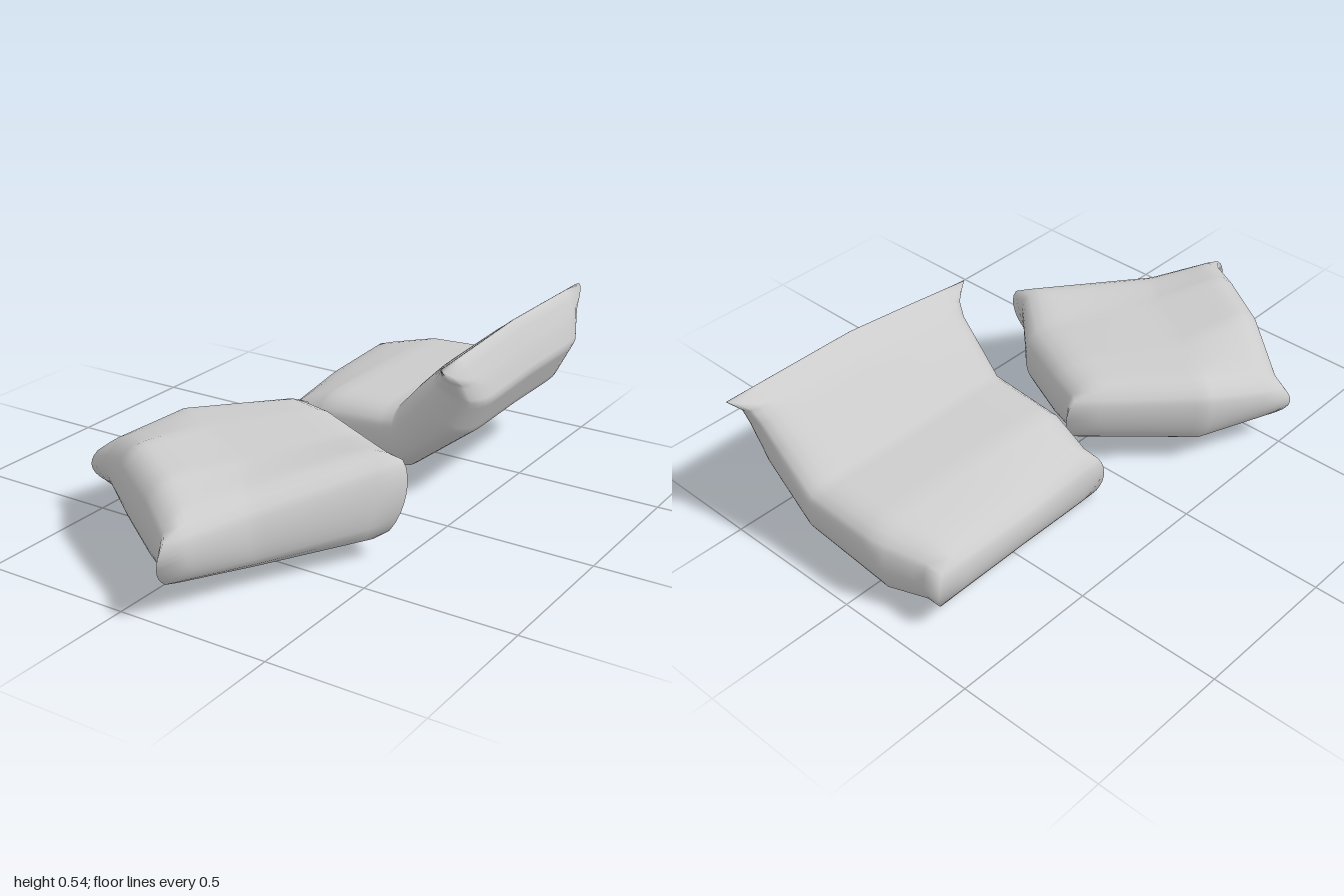
import * as THREE from 'three';
import { mergeVertices } from 'three/addons/utils/BufferGeometryUtils.js';

// Each station runs across a cushion face: front, middle and back point as [x, y, z]
const FLAT_TOP = [
  [[-0.46, 0.25, 0.49], [-0.36, 0.31, 0.25], [-0.09, 0.31, -0.03]],
  [[-0.24, 0.335, 0.65], [-0.17, 0.315, 0.36], [0.06, 0.32, 0.025]],
  [[-0.03, 0.325, 0.79], [0.07, 0.305, 0.5], [0.26, 0.31, 0.12]],
  [[0.13, 0.27, 0.91], [0.21, 0.285, 0.67], [0.43, 0.345, 0.25]],
];
const FLAT_BOTTOM = [
  [[-0.43, 0.075, 0.48], [-0.33, 0.055, 0.25], [-0.07, 0.08, -0.02]],
  [[-0.24, 0.055, 0.64], [-0.15, 0.05, 0.36], [0.07, 0.06, 0.04]],
  [[-0.04, 0.04, 0.78], [0.07, 0.04, 0.5], [0.27, 0.045, 0.14]],
  [[0.12, 0.06, 0.89], [0.23, 0.04, 0.65], [0.42, 0.04, 0.33]],
];
const BENT_TOP = [
  [[-0.22, 0.21, -0.17], [-0.25, 0.23, -0.5], [-0.26, 0.24, -0.83]],
  [[-0.05, 0.28, -0.15], [-0.05, 0.28, -0.52], [-0.05, 0.28, -0.9]],
  [[0.21, 0.29, -0.14], [0.2, 0.29, -0.52], [0.2, 0.29, -0.9]],
  [[0.285, 0.375, -0.13], [0.285, 0.385, -0.52], [0.285, 0.385, -0.91]],
  [[0.345, 0.435, -0.13], [0.35, 0.455, -0.52], [0.35, 0.455, -0.92]],
  [[0.39, 0.475, -0.12], [0.4, 0.505, -0.52], [0.4, 0.505, -0.93]],
];
const BENT_BOTTOM = [
  [[-0.19, -0.02, -0.18], [-0.23, 0.03, -0.5], [-0.24, 0.035, -0.83]],
  [[-0.08, 0.015, -0.17], [-0.1, 0.025, -0.52], [-0.1, 0.025, -0.88]],
  [[0.25, 0.07, -0.17], [0.25, 0.075, -0.52], [0.25, 0.07, -0.88]],
  [[0.46, 0.23, -0.18], [0.46, 0.24, -0.52], [0.46, 0.24, -0.87]],
  [[0.52, 0.35, -0.18], [0.525, 0.37, -0.52], [0.525, 0.37, -0.87]],
  [[0.49, 0.44, -0.14], [0.495, 0.475, -0.52], [0.495, 0.475, -0.91]],
];

// Point on a face, u along the stations and v from back (-1) to front (+1)
function facePoint(face, u, v) {
  const last = face.length - 1;
  const s = (u + 1) / 2 * last;
  const i = Math.min(last - 1, Math.floor(s));
  const across = ([front, middle, back]) => new THREE.Vector3(...middle)
    .lerp(new THREE.Vector3(...(v > 0 ? front : back)), Math.abs(v));
  return across(face[i]).lerp(across(face[i + 1]), s - i);
}

// Stuffed cushion: a subdivided box between two faces, with soft rims and bulging walls
function cushion(name, top, bottom, segments) {
  let geo = new THREE.BoxGeometry(2, 2, 2, segments, 10, 24);
  geo.deleteAttribute('normal');
  geo.deleteAttribute('uv');
  geo = mergeVertices(geo);
  const pos = geo.attributes.position;
  const bulge = 0.045;
  const cornerPinch = 1.7;
  for (let i = 0; i < pos.count; i++) {
    const u = pos.getX(i), t = pos.getY(i), v = pos.getZ(i);
    const rim = 1 - 0.15 * Math.max(Math.abs(u), Math.abs(v)) ** 12;
    const point = (a, b) => facePoint(bottom, a, b).lerp(facePoint(top, a, b), (1 + t * rim) / 2);
    const p = point(u, v);
    const onEnd = Math.abs(u) === 1, onSide = Math.abs(v) === 1;
    const push = bulge * Math.sqrt(1 - t * t);
    const outU = p.clone().sub(point(u * 0.9, v)).normalize();
    const outV = p.clone().sub(point(u, v * 0.9)).normalize();
    if (onEnd) p.addScaledVector(outU, push);
    if (onSide) p.addScaledVector(outV, onEnd ? push * cornerPinch : push);
    pos.setXYZ(i, p.x, p.y, p.z);
  }
  geo.computeVertexNormals();
  const mesh = new THREE.Mesh(geo, new THREE.MeshStandardMaterial({ color: 0xcccccc }));
  mesh.name = name;
  return mesh;
}

export function createModel() {
  const group = new THREE.Group();
  group.name = 'cushions';
  group.add(
    cushion('flatCushion', FLAT_TOP, FLAT_BOTTOM, 24),
    cushion('bentCushion', BENT_TOP, BENT_BOTTOM, 30),
  );
  return group;
}
